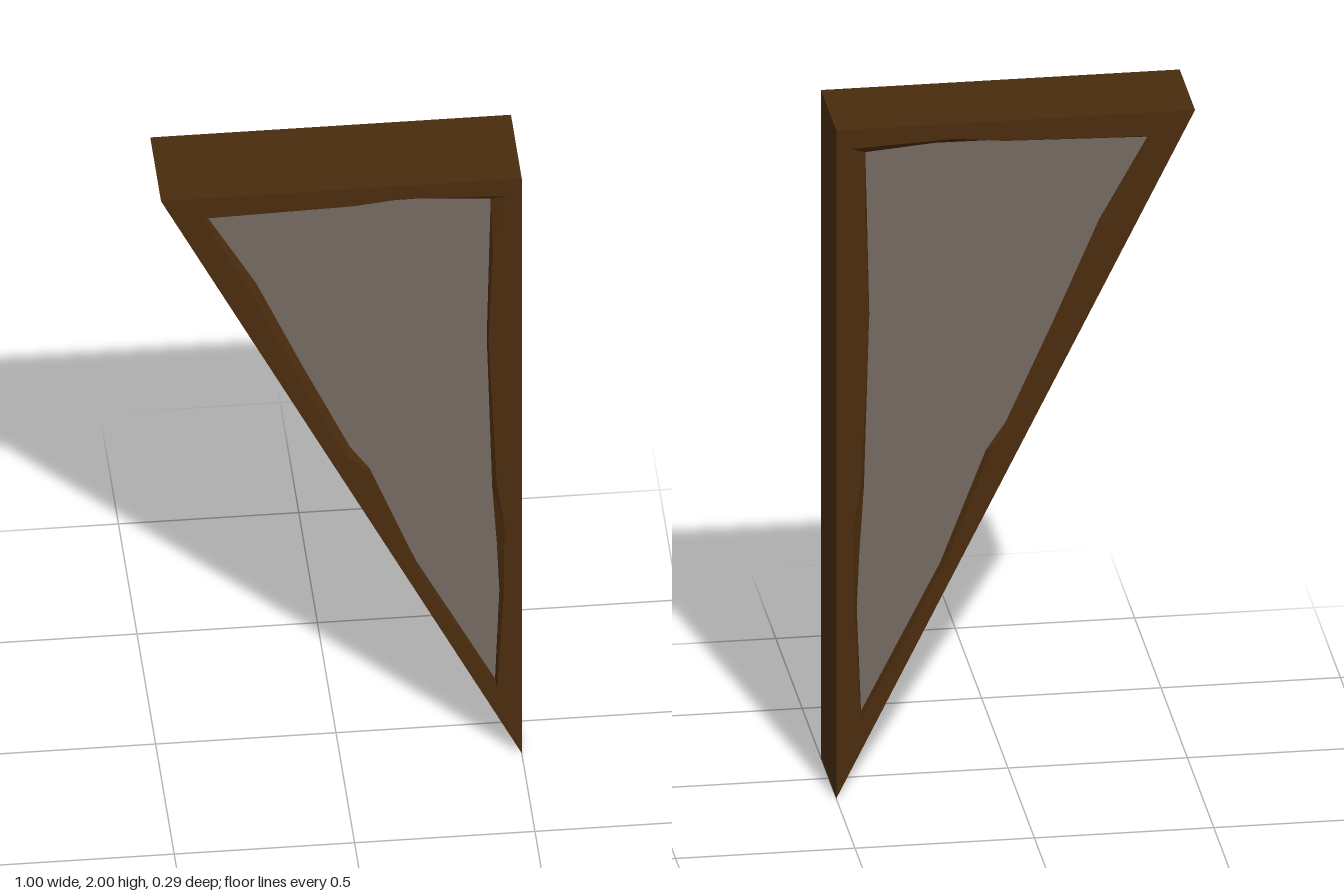
import * as THREE from 'three';

const HALF = 0.145;   // half depth of the beams
const PANEL = 0.125;  // half depth of the infill

// Rough-hewn opening, counter-clockwise: [lip x, lip y, panel x, panel y]
const opening = [
  [0.432, 0.23, 0.428, 0.25],
  [0.45, 0.55, 0.44, 0.56],
  [0.452, 0.8, 0.433, 0.72],
  [0.43, 0.95, 0.42, 0.92],
  [0.408, 1.44, 0.405, 1.44],
  [0.42, 1.75, 0.412, 1.75],
  [0.46, 1.942, 0.416, 1.922],
  [0.17, 1.955, 0.22, 1.938],
  [0.03, 1.94, 0.03, 1.936],
  [-0.385, 1.93, -0.37, 1.92],
  [-0.257, 1.68, -0.235, 1.68],
  [-0.128, 1.38, -0.11, 1.39],
  [0.01, 1.075, 0.025, 1.09],
  [0.066, 1.02, 0.08, 1.01],
  [0.2, 0.68, 0.208, 0.68],
];

const loop = (points) => points.map(([x, y]) => new THREE.Vector2(x, y));

function slab(shape, half) {
  const geometry = new THREE.ExtrudeGeometry(shape, { depth: 2 * half, bevelEnabled: false });
  return geometry.translate(0, 0, -half);
}

// Hewn slope from the lip of the beams down to the infill, on one side
function slope(lip, inner, side) {
  const positions = [];
  lip.forEach((a, i) => {
    const j = (i + 1) % lip.length;
    const p = [a.x, a.y, side * HALF];
    const q = [lip[j].x, lip[j].y, side * HALF];
    const r = [inner[j].x, inner[j].y, side * PANEL];
    const s = [inner[i].x, inner[i].y, side * PANEL];
    const corners = side > 0 ? [p, q, r, p, r, s] : [p, r, q, p, s, r];
    positions.push(...corners.flat());
  });
  const geometry = new THREE.BufferGeometry();
  geometry.setAttribute('position', new THREE.Float32BufferAttribute(positions, 3));
  geometry.computeVertexNormals();
  return geometry;
}

export function createModel() {
  const wood = new THREE.MeshStandardMaterial({ color: 0x4a2c0e });
  wood.name = 'dark wood';
  const plaster = new THREE.MeshStandardMaterial({ color: 0x736961 });
  plaster.name = 'grey plaster';

  const group = new THREE.Group();
  group.name = 'triangularWallPanel';
  const add = (name, geometry, material) => {
    const mesh = new THREE.Mesh(geometry, material);
    mesh.name = name;
    group.add(mesh);
  };

  const lip = loop(opening);
  const inner = loop(opening.map(([, , x, y]) => [x, y]));

  // Beams around the triangle
  const outline = new THREE.Shape(loop([[0.5, 0], [0.5, 2], [-0.5, 2]]));
  outline.holes.push(new THREE.Path(lip));
  add('beamFrame', slab(outline, HALF), wood);
  add('frontHewnEdge', slope(lip, inner, 1), wood);
  add('backHewnEdge', slope(lip, inner, -1), wood);

  // Infill set slightly back from both faces
  add('infillPanel', slab(new THREE.Shape(inner), PANEL), plaster);

  return group;
}
